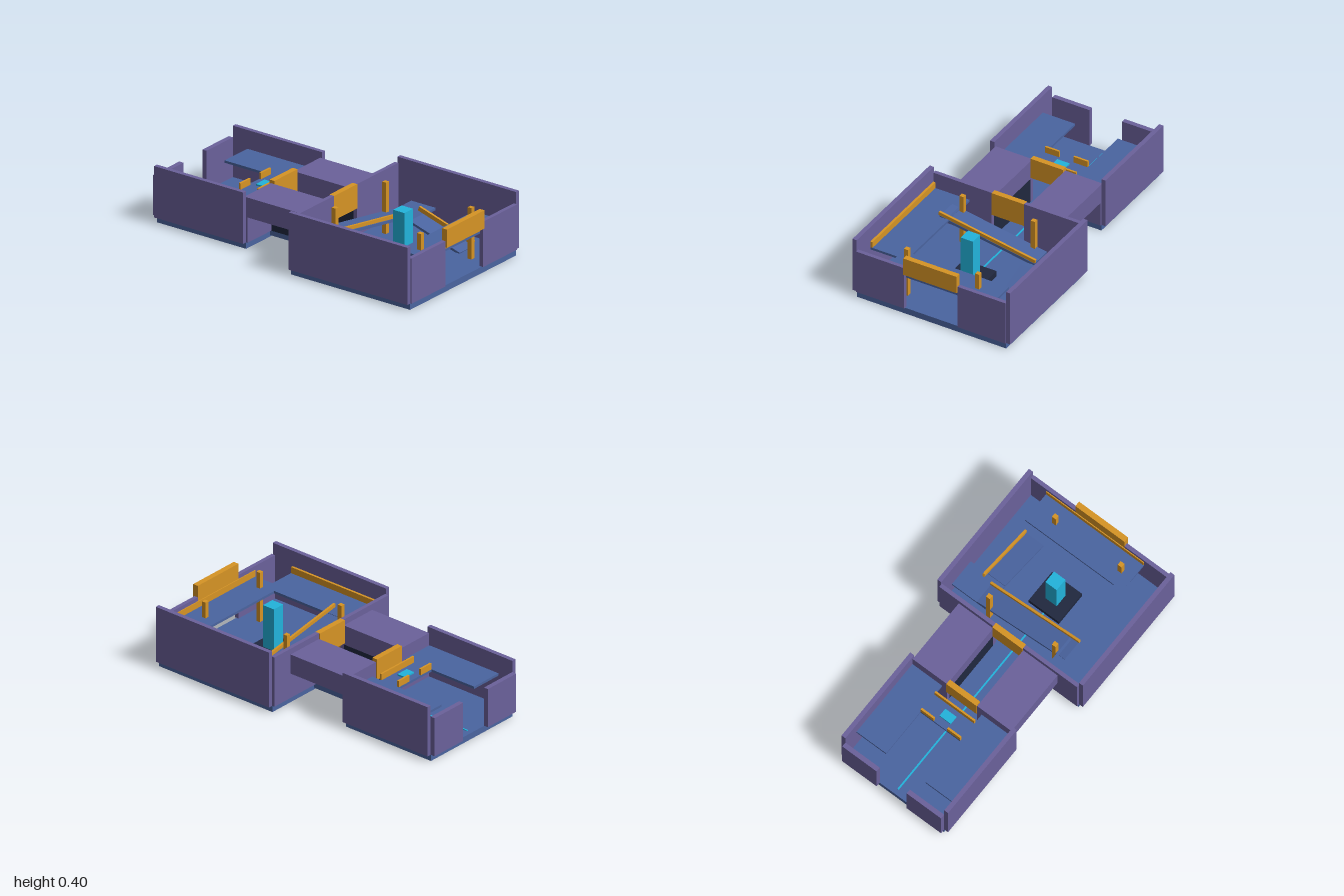
import * as THREE from 'three';

const mat = (color) => new THREE.MeshStandardMaterial({ color });

export function createModel() {
  const model = new THREE.Group();
  const wall = mat(0x6b619b), floor = mat(0x4a64a0), trim = mat(0xd69425);
  const glow = mat(0x22b4dc), dark = mat(0x20283f);

  // box given by its limits on each axis
  const box = (parent, name, m, x0, x1, y0, y1, z0, z1) => {
    const mesh = new THREE.Mesh(new THREE.BoxGeometry(x1 - x0, y1 - y0, z1 - z0), m);
    mesh.position.set((x0 + x1) / 2, (y0 + y1) / 2, (z0 + z1) / 2);
    mesh.name = name;
    parent.add(mesh);
    return mesh;
  };
  // same box on both sides of x = 0
  const pair = (parent, name, m, x0, x1, ...rest) => {
    box(parent, name + 'Left', m, x0, x1, ...rest);
    box(parent, name + 'Right', m, -x1, -x0, ...rest);
  };
  const group = (name) => {
    const g = new THREE.Group();
    g.name = name;
    model.add(g);
    return g;
  };

  // Front hall shell
  const hall = group('frontHall');
  box(hall, 'hallFloor', floor, -0.505, 0.505, 0, 0.04, 0.115, 0.98);
  pair(hall, 'hallSideWall', wall, 0.505, 0.533, 0.04, 0.4, 0.118, 0.982);
  pair(hall, 'hallFrontWall', wall, 0.18, 0.505, 0.04, 0.325, 0.965, 0.99);
  pair(hall, 'hallBackWall', wall, 0.11, 0.505, 0.04, 0.363, 0.1, 0.125);
  box(hall, 'entrancePanel', trim, -0.18, 0.18, 0.285, 0.4, 0.965, 1);

  // Raised gallery with outer rails
  box(hall, 'sideGallery', floor, -0.505, -0.26, 0.245, 0.26, 0.125, 0.83);
  box(hall, 'frontGallery', floor, -0.325, 0.39, 0.2448, 0.2602, 0.76, 0.966);
  box(hall, 'sideGalleryRail', trim, -0.505, -0.49, 0.26, 0.3, 0.125, 0.83);
  box(hall, 'frontGalleryRail', trim, -0.325, 0.39, 0.26, 0.3, 0.959, 0.967);
  for (const z of [0.233, 0.855]) pair(hall, 'post', trim, 0.227, 0.255, 0.04, 0.363, z - 0.014, z + 0.014);

  // Two ramps joined by a landing
  const slope1 = -0.165, slope2 = 0.29;
  box(hall, 'upperRamp', floor, -0.325, 0.325, 0.196, 0.214, 0.22, 0.36).rotation.z = slope1;
  box(hall, 'upperRampRail', trim, -0.33, 0.33, 0.219, 0.241, 0.348, 0.363).rotation.z = slope1;
  box(hall, 'landing', floor, 0.255, 0.505, 0.135, 0.15, 0.22, 0.397);
  box(hall, 'lowerRamp', floor, 0.255, 0.39, 0.085, 0.1, 0.388, 0.768).rotation.x = slope2;
  box(hall, 'lowerRampRail', trim, 0.38, 0.395, 0.108, 0.135, 0.358, 0.772).rotation.x = slope2;

  // Central pillar on its plinth
  box(hall, 'plinth', dark, -0.11, 0.11, 0.038, 0.077, 0.435, 0.655);
  box(hall, 'pillar', glow, -0.041, 0.041, 0.077, 0.35, 0.504, 0.586);

  // Connecting passage
  const passage = group('passage');
  box(passage, 'passageFloor', floor, -0.135, 0.135, 0.01, 0.04, -0.325, 0.118);
  pair(passage, 'passageSideBlock', wall, 0.11, 0.362, 0.2, 0.325, -0.325, 0.102);
  pair(passage, 'passageInnerWall', dark, 0.11, 0.135, 0.04, 0.2, -0.31, 0.1);
  box(passage, 'frontLintel', trim, -0.11, 0.11, 0.21, 0.363, 0.092, 0.127);
  box(passage, 'rearLintel', trim, -0.11, 0.11, 0.21, 0.345, -0.343, -0.308);

  // Rear room shell
  const rear = group('rearRoom');
  box(rear, 'rearFloor', floor, -0.362, 0.362, 0, 0.04, -0.972, -0.322);
  pair(rear, 'rearSideWall', wall, 0.362, 0.39, 0.04, 0.363, -0.97, -0.322);
  pair(rear, 'rearInnerWall', wall, 0.11, 0.362, 0.04, 0.325, -0.335, -0.312);
  pair(rear, 'rearEndWall', wall, 0.11, 0.362, 0.04, 0.29, -1, -0.97);

  // Rear galleries, bridge and rails
  pair(rear, 'rearGallery', floor, 0.145, 0.362, 0.23, 0.245, -0.865, -0.337);
  box(rear, 'bridge', floor, -0.145, 0.145, 0.23, 0.245, -0.54, -0.4);
  pair(rear, 'bridgeEndRail', trim, 0.05, 0.145, 0.245, 0.285, -0.54, -0.527);
  box(rear, 'bridgeRail', trim, -0.145, 0.145, 0.245, 0.285, -0.408, -0.396);
  box(rear, 'bridgeMarker', glow, -0.041, 0.041, 0.245, 0.255, -0.495, -0.44);

  // Light strip along the floor
  box(model, 'lightStrip', glow, -0.005, 0.005, 0.039, 0.044, -0.94, 0.44);
  return model;
}
